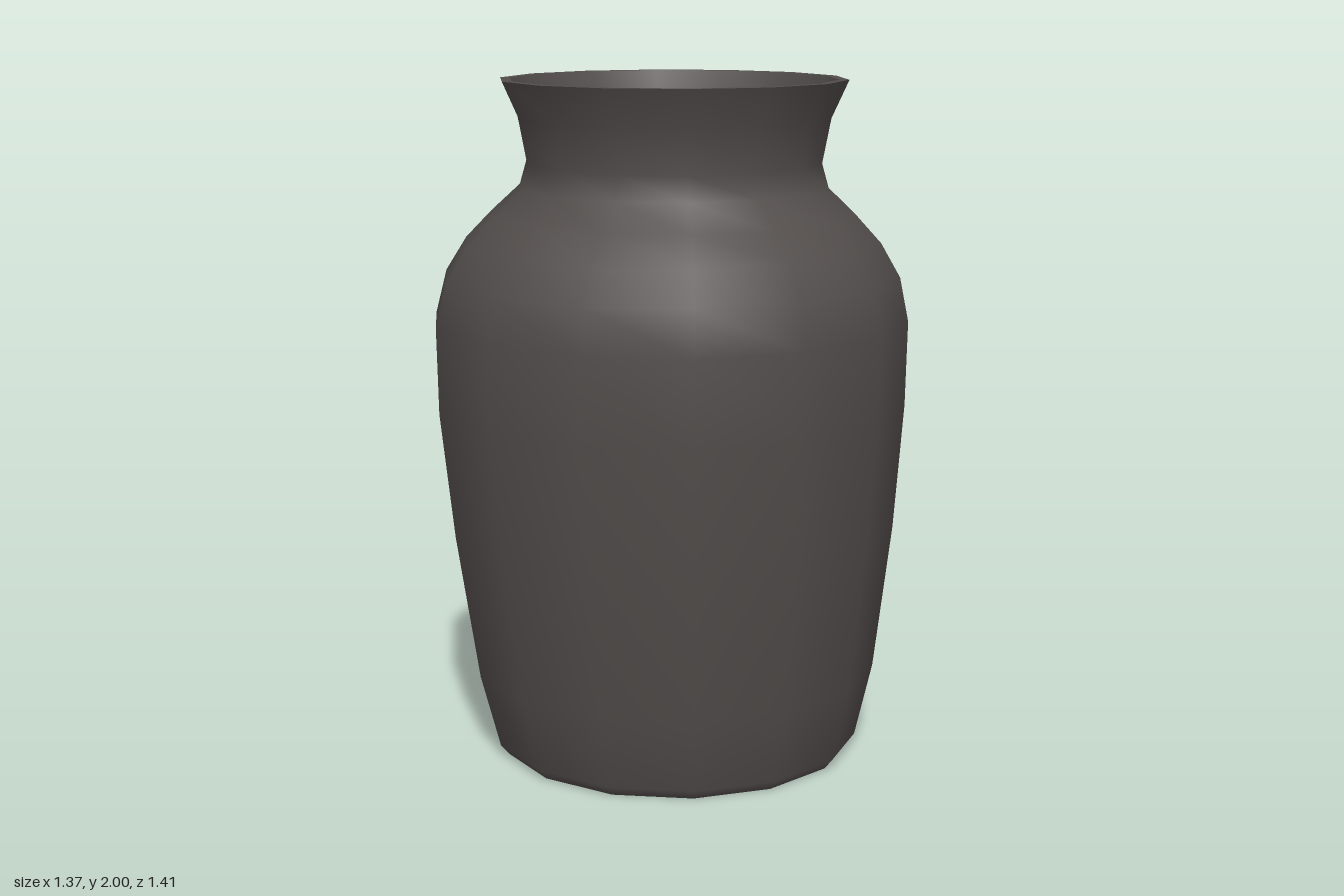
import * as THREE from 'three';

const SIDES = 14;

// The axis wanders slightly, as in a hand-thrown pot: shift each ring by its height
function lean(geometry) {
  const p = geometry.attributes.position;
  for (let i = 0; i < p.count; i++) {
    const y = p.getY(i);
    const shift = y < 1.2 ? 0.03 * (1 - y / 1.2) : 0.02 * Math.min(1, (y - 1.2) / 0.5);
    p.setX(i, p.getX(i) + shift);
  }
  return geometry;
}

export function createModel() {
  const vase = new THREE.Group();
  vase.name = 'vase';

  const clay = new THREE.MeshStandardMaterial({ color: 0x524d4b });
  clay.name = 'dark clay';

  // Turn a profile of [radius, height] points around the axis
  const turn = (name, profile) => {
    const points = profile.map(([r, y]) => new THREE.Vector2(r, y));
    const mesh = new THREE.Mesh(lean(new THREE.LatheGeometry(points, SIDES)), clay);
    mesh.name = name;
    vase.add(mesh);
  };

  // Slightly hollowed underside with its foot ring
  turn('base', [[0, 0.03], [0.43, 0.03], [0.49, 0], [0.525, 0]]);

  // Outside wall: belly, shoulder, neck and flared mouth
  turn('outerWall', [
    [0.525, 0], [0.55, 0.03], [0.605, 0.25], [0.665, 0.68], [0.7, 1.05],
    [0.705, 1.3], [0.675, 1.43], [0.615, 1.53], [0.54, 1.61],
    [0.455, 1.69], [0.435, 1.76], [0.46, 1.89], [0.51, 2],
  ]);

  // Thin flat lip
  turn('rim', [[0.51, 2], [0.48, 2]]);

  // Inside wall and floor
  turn('innerWall', [
    [0.48, 2], [0.43, 1.88], [0.405, 1.76], [0.425, 1.67], [0.51, 1.58],
    [0.59, 1.49], [0.645, 1.4], [0.67, 1.28], [0.665, 1.05],
    [0.63, 0.68], [0.57, 0.25], [0.51, 0.07], [0, 0.06],
  ]);

  return vase;
}
